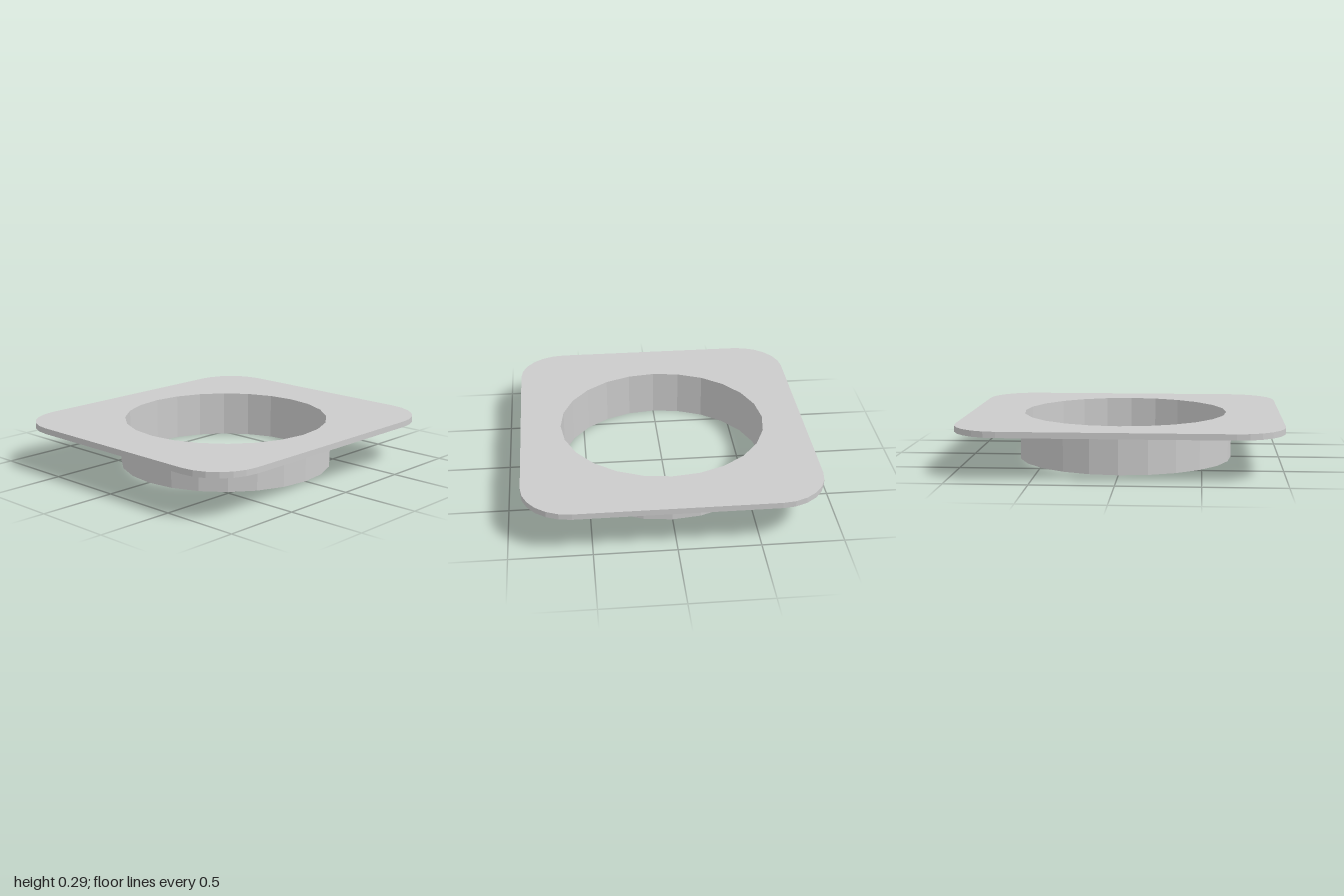
import * as THREE from 'three';

const SIDES = 24;      // facets around the opening
const HOLE = 0.657;    // radius of the opening
const PLATE_Y = 0.257; // underside of the flange
const TOP_Y = 0.294;

// Regular polygon, optionally slightly oval, with a corner on each axis
function ring(rx, ry) {
  return Array.from({ length: SIDES }, (_, i) => {
    const a = (i / SIDES) * Math.PI * 2;
    return new THREE.Vector2(rx * Math.cos(a), ry * Math.sin(a));
  });
}

// Rectangle with faceted round corners
function roundedRect(hx, hy, r, steps) {
  const points = [];
  [[1, 1], [-1, 1], [-1, -1], [1, -1]].forEach(([sx, sy], corner) => {
    for (let i = 0; i <= steps; i++) {
      const a = (corner + i / steps) * Math.PI / 2;
      points.push(new THREE.Vector2(sx * (hx - r) + r * Math.cos(a), sy * (hy - r) + r * Math.sin(a)));
    }
  });
  return points;
}

// Upright slab of the given outline, pierced by the round opening
function piercedSlab(name, outline, y0, y1) {
  const shape = new THREE.Shape(outline);
  shape.holes.push(new THREE.Path(ring(HOLE, HOLE).reverse()));
  const geometry = new THREE.ExtrudeGeometry(shape, { depth: y1 - y0, bevelEnabled: false, curveSegments: 1 });
  geometry.rotateX(-Math.PI / 2).translate(0, y0, 0);
  const material = new THREE.MeshStandardMaterial({ color: 0xcccccc, flatShading: true });
  const mesh = new THREE.Mesh(geometry, material);
  mesh.name = name;
  return mesh;
}

export function createModel() {
  const model = new THREE.Group();
  model.name = 'flangedCollar';
  model.add(
    piercedSlab('flangePlate', roundedRect(0.914, 1, 0.3, 6), PLATE_Y, TOP_Y),
    piercedSlab('collar', ring(0.684, 0.689), 0, PLATE_Y),
  );
  return model;
}
